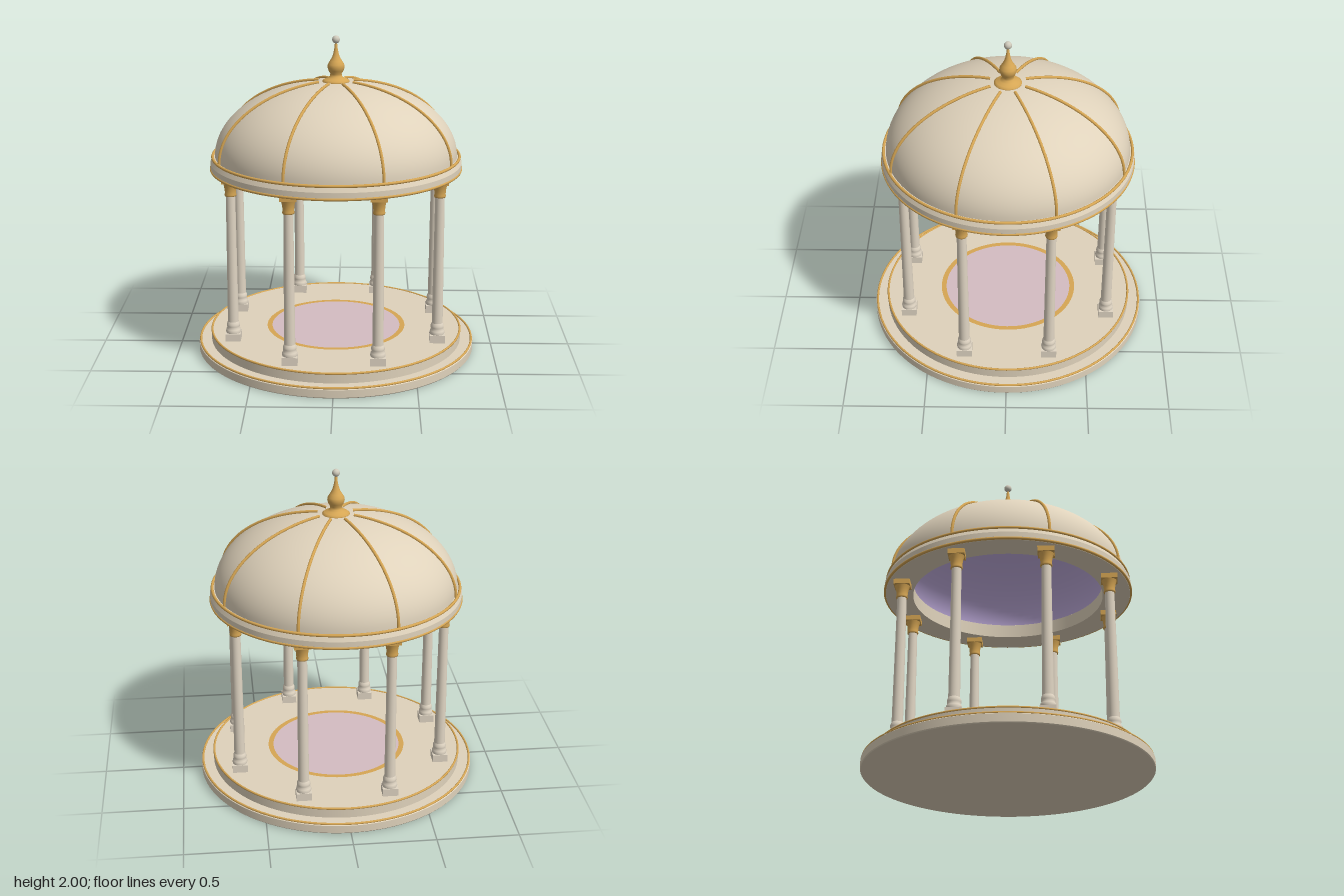
import * as THREE from 'three';

const mat = (name, color, side = THREE.FrontSide) => {
  const m = new THREE.MeshStandardMaterial({ color, side });
  m.name = name;
  return m;
};

export function createModel() {
  const stone = mat('warm stone', 0xdfd2bb);
  const ivory = mat('ivory column', 0xe0d5c3);
  const gold = mat('gold', 0xd6a654);
  const rose = mat('rose floor', 0xd4bcc2);
  const lavender = mat('lavender ceiling', 0xc6b2e4, THREE.DoubleSide);
  const pearl = mat('pearl', 0xcfcabb);

  const model = new THREE.Group();
  model.name = 'domedPavilion';

  const add = (name, geometry, material, y = 0, parent = model) => {
    const mesh = new THREE.Mesh(geometry, material);
    mesh.name = name;
    mesh.position.y = y;
    parent.add(mesh);
    return mesh;
  };
  // Smooth lathe through [radius, height] points
  const lathe = (points, segments = 96) =>
    new THREE.LatheGeometry(points.map(([r, y]) => new THREE.Vector2(r, y)), segments);
  // Lathe with a crisp edge at every profile point
  const crispLathe = (points, segments = 96) => {
    const doubled = points.flatMap(([r, y], i) => {
      const a = points[Math.max(i - 1, 0)], b = points[Math.min(i + 1, points.length - 1)];
      const e = 0.0004;
      const toward = ([pr, py]) => {
        const d = Math.hypot(pr - r, py - y) || 1;
        return [r + ((pr - r) / d) * e, y + ((py - y) / d) * e];
      };
      return [toward(a), toward(b)];
    });
    return lathe(doubled, segments);
  };
  const ring = (name, radius, y, tube) => {
    const geometry = new THREE.TorusGeometry(radius, tube, 10, 96);
    geometry.rotateX(Math.PI / 2);
    add(name, geometry, gold, y);
  };

  // Two-step round base with gilded rims
  add('lowerStep', crispLathe([[0, 0], [0.875, 0], [0.88, 0.006], [0.88, 0.054], [0.87, 0.062], [0, 0.062]]), stone);
  add('upperStep', new THREE.CylinderGeometry(0.8, 0.8, 0.063, 96), stone, 0.0915);
  ring('lowerStepTrim', 0.87, 0.062, 0.007);
  ring('upperStepTrim', 0.796, 0.122, 0.007);

  // Inlaid floor disc and its border
  add('floorInlay', new THREE.CylinderGeometry(0.415, 0.415, 0.005, 72), rose, 0.125);
  const border = new THREE.RingGeometry(0.41, 0.442, 72);
  border.rotateX(-Math.PI / 2);
  add('floorInlayBorder', border, gold, 0.1285);

  // Eight columns
  const plinth = new THREE.BoxGeometry(0.095, 0.05, 0.095);
  const foot = lathe([[0.045, 0.17], [0.047, 0.182], [0.044, 0.195], [0.038, 0.205],
    [0.041, 0.215], [0.041, 0.228], [0.036, 0.24], [0.034, 0.245]], 28);
  const shaft = new THREE.CylinderGeometry(0.029, 0.034, 0.825, 28);
  const capital = lathe([[0, 1.058], [0.034, 1.058], [0.037, 1.066], [0.034, 1.074], [0.035, 1.095],
    [0.039, 1.12], [0.047, 1.143]], 28);
  const abacus = new THREE.BoxGeometry(0.1, 0.032, 0.1);
  for (let i = 0; i < 8; i++) {
    const a = ((i + 0.5) * Math.PI) / 4;
    const column = new THREE.Group();
    column.name = 'column';
    column.position.set(0.69 * Math.cos(a), 0, 0.69 * Math.sin(a));
    add('plinth', plinth, ivory, 0.147, column);
    add('columnFoot', foot, ivory, 0, column);
    add('columnShaft', shaft, ivory, 0.65, column);
    add('capital', capital, gold, 0, column);
    add('abacus', abacus, gold, 1.157, column);
    model.add(column);
  }

  // Ring beam carrying the dome
  add('ringBeam', crispLathe([[0.6, 1.172], [0.772, 1.172], [0.781, 1.19], [0.781, 1.222],
    [0.766, 1.255], [0.6, 1.26], [0.6, 1.172]]), stone);
  ring('beamLowerTrim', 0.777, 1.182, 0.009);
  ring('beamUpperTrim', 0.767, 1.257, 0.009);

  // Elliptical dome shell and coloured ceiling
  const dome = (rx, ry) => {
    const points = [];
    for (let i = 0; i <= 28; i++) {
      const t = (i / 28) * Math.PI / 2;
      points.push([i === 28 ? 0 : rx * Math.cos(t), ry * Math.sin(t)]);
    }
    return lathe(points);
  };
  add('domeShell', dome(0.752, 0.462), stone, 1.258);
  add('domeCeiling', dome(0.725, 0.435), lavender, 1.258);

  // Gilded ribs following the dome
  const ribPoints = [];
  for (let i = 0; i <= 16; i++) {
    const t = (i / 16) * 1.42;
    ribPoints.push(new THREE.Vector3(0.757 * Math.cos(t), 1.258 + 0.467 * Math.sin(t), 0));
  }
  const ribGeometry = new THREE.TubeGeometry(new THREE.CatmullRomCurve3(ribPoints), 40, 0.0095, 8);
  for (let i = 0; i < 8; i++) {
    add('domeRib', ribGeometry, gold).rotation.y = ((i + 0.5) * Math.PI) / 4;
  }

  // Finial with pearl tip
  add('finial', lathe([[0, 1.71], [0.083, 1.712], [0.084, 1.722], [0.072, 1.732], [0.05, 1.74],
    [0.037, 1.752], [0.035, 1.766], [0.046, 1.785], [0.053, 1.806], [0.05, 1.825], [0.038, 1.845],
    [0.025, 1.866], [0.016, 1.893], [0.01, 1.925], [0.006, 1.962], [0, 1.965]], 40), gold);
  add('finialPearl', new THREE.SphereGeometry(0.024, 24, 16), pearl, 1.976);

  return model;
}
